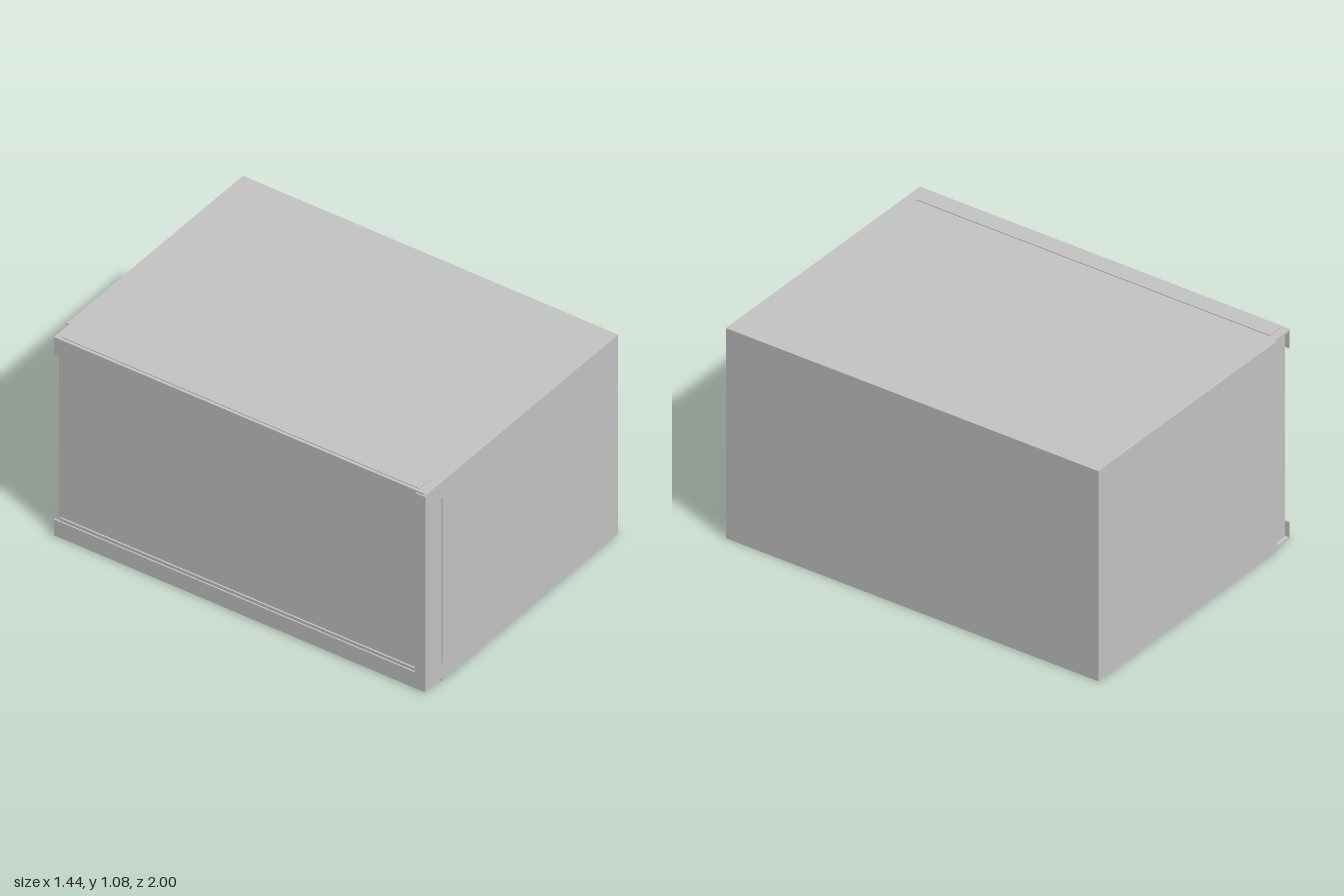
import * as THREE from 'three';

export function createModel() {
  const group = new THREE.Group();
  const grey = new THREE.MeshStandardMaterial({ color: 0xc4c4c4 });
  grey.name = 'sheet metal grey';

  const add = (name, geometry) => {
    const mesh = new THREE.Mesh(geometry, grey);
    mesh.name = name;
    group.add(mesh);
    return mesh;
  };
  // box given by its extents on each axis
  const block = (name, [x0, x1], [y0, y1], [z0, z1]) =>
    add(name, new THREE.BoxGeometry(x1 - x0, y1 - y0, z1 - z0))
      .position.set((x0 + x1) / 2, (y0 + y1) / 2, (z0 + z1) / 2);

  const H = 1.075, W = 0.72, inner = -0.6, outer = -0.715, t = 0.01;

  // main cabinet
  block('cabinet', [inner, W], [0, H], [-1, 1 - t]);

  // front sheet, notched at the lower corner, with a tall narrow slot
  const sheet = new THREE.Shape();
  [[inner, 0], [W, 0], [W, H], [-0.715, H], [-0.723, H - 0.008], [-0.723, 0.016], [inner, 0.016]]
    .forEach(([x, y], i) => (i ? sheet.lineTo(x, y) : sheet.moveTo(x, y)));
  const slot = new THREE.Path();
  slot.moveTo(-0.604, 0.092);
  slot.absarc(-0.6, 0.984, 0.004, Math.PI, 0, true);
  slot.absarc(-0.6, 0.092, 0.004, 0, -Math.PI, true);
  sheet.holes.push(slot);
  add('frontSheet', new THREE.ExtrudeGeometry(sheet, { depth: t, bevelEnabled: false, curveSegments: 6 }))
    .position.z = 1 - t;
  // folded edge of the front sheet
  block('frontLip', [-0.723, -0.713], [0.016, H - 0.008], [0.945, 1 - t]);

  // upper and lower channels with turned outer and inner lips
  const zs = [-0.987, 0.99];
  for (const [side, y0, y1, lip0, lip1] of [
    ['upper', H - t, H, H - 0.095, H - t],
    ['lower', 0.004, 0.014, 0.014, 0.09],
  ]) {
    block(side + 'ChannelWeb', [outer, inner], [y0, y1], zs);
    block(side + 'ChannelOuterLip', [outer, outer + t], [lip0, lip1], zs);
    block(side + 'ChannelInnerLip', [inner - 0.012, inner], [lip0, lip1], zs);
  }

  // recessed panel held between the channels
  block('sidePanel', [-0.7, -0.622], [0.016, H - 0.012], [-0.97, 0.94]);
  // thin raised strip above the panel and fold below it
  block('topStrip', [-0.7, -0.615], [H, H + 0.004], [-0.95, 0.95]);
  block('lowerFold', [-0.708, -0.7], [0.09, 0.105], [-0.96, 0.94]);

  return group;
}
